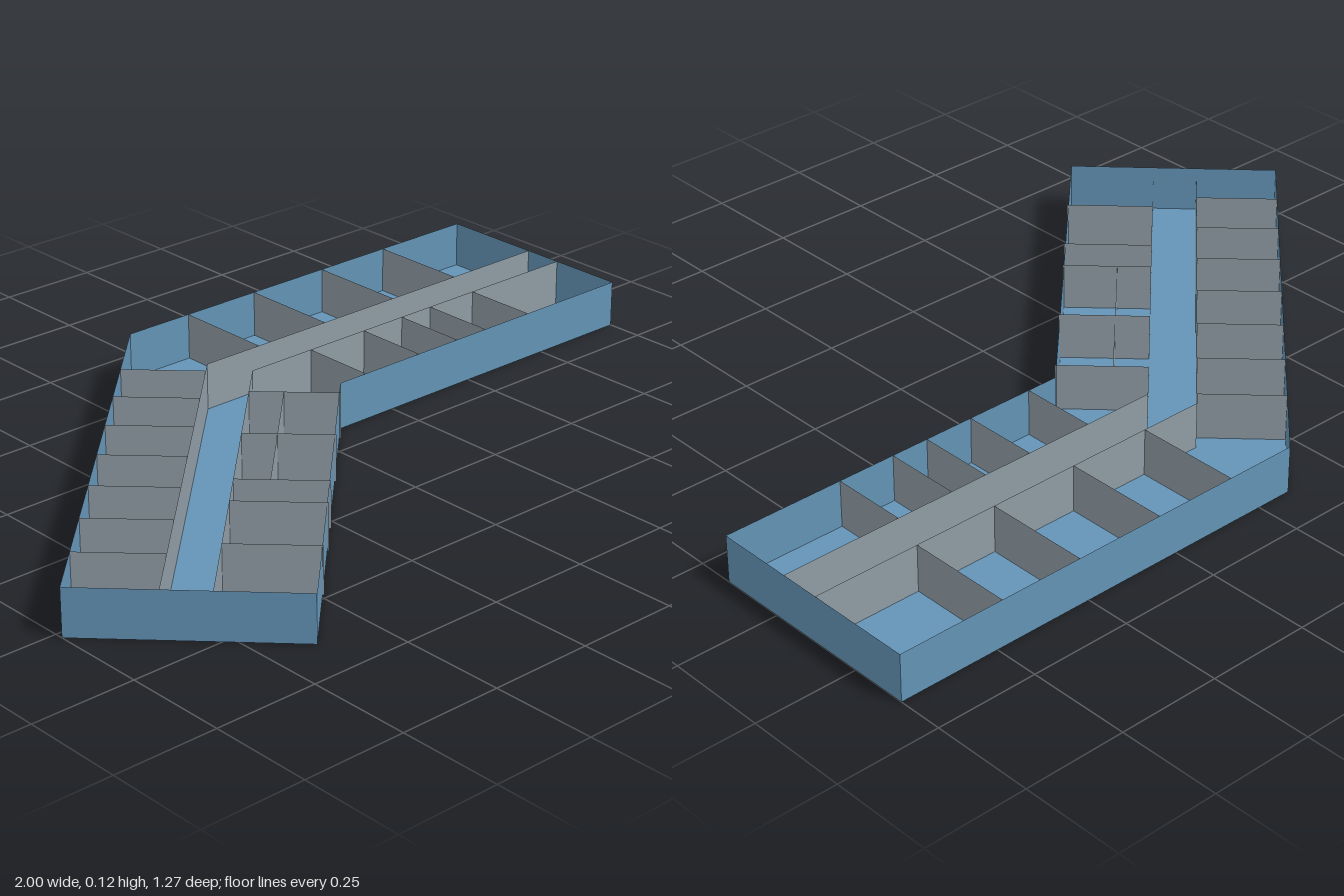
import * as THREE from 'three';

const H = 0.115;
const R = Math.SQRT1_2;

// Point in the diagonal wing: t runs along it, w across it
const diag = (t, w) => [(w - t) * R, (w + t) * R];

export function createModel() {
  const model = new THREE.Group();
  const blue = new THREE.MeshStandardMaterial({ color: 0x6494b6, side: THREE.DoubleSide });
  const grey = new THREE.MeshStandardMaterial({ color: 0x8f9ca5, side: THREE.DoubleSide });

  // Thin upright sheet between two plan points [x, z]
  function wall(name, a, b, material, parent) {
    const dx = b[0] - a[0], dz = b[1] - a[1];
    const mesh = new THREE.Mesh(new THREE.PlaneGeometry(Math.hypot(dx, dz), H), material);
    mesh.position.set((a[0] + b[0]) / 2, H / 2, (a[1] + b[1]) / 2);
    mesh.rotation.y = -Math.atan2(dz, dx);
    mesh.name = name;
    parent.add(mesh);
  }
  function group(name) {
    const g = new THREE.Group();
    g.name = name;
    model.add(g);
    return g;
  }

  // Floor slab and outer walls; order keeps outer faces pointing outward
  const outline = [[-0.64, 0.635], [0.085, -0.09], [1, -0.09], [1, -0.64], [-0.09, -0.64], [-1, 0.27]];
  const shape = new THREE.Shape(outline.map(([x, z]) => new THREE.Vector2(x, -z)));
  const floor = new THREE.Mesh(new THREE.ShapeGeometry(shape), blue);
  floor.rotation.x = -Math.PI / 2;
  floor.name = 'floor';
  model.add(floor);
  const shell = group('outerWalls');
  outline.forEach((p, i) => wall('outerWall', p, outline[(i + 1) % outline.length], blue, shell));

  // Corridor walls, bending where the wings meet
  const corridor = group('corridorWalls');
  const backZ = -0.38, frontZ = -0.28, backW = -0.318, frontW = -0.21, endT = 0.898;
  const runs = [
    [[1, backZ], [backW / R - backZ, backZ], diag(endT, backW)],
    [[1, frontZ], [frontW / R - frontZ, frontZ], diag(endT, frontW)],
  ];
  for (const [a, b, c] of runs) {
    wall('corridorWall', a, b, grey, corridor);
    wall('corridorWall', b, c, grey, corridor);
  }

  // Room dividers in the straight wing
  const straight = group('straightWingDividers');
  for (const x of [0.09, 0.3, 0.525, 0.735]) wall('backDivider', [x, -0.64], [x, backZ], grey, straight);
  for (const x of [0.165, 0.335, 0.46, 0.555, 0.7]) wall('frontDivider', [x, frontZ], [x, -0.09], grey, straight);

  // Room dividers in the diagonal wing
  const diagonal = group('diagonalWingDividers');
  for (let i = 0; i < 7; i++) {
    const t = -0.18 + i * 0.154;
    wall('backDivider', diag(t, -0.516), diag(t, backW), grey, diagonal);
  }
  for (const t of [-0.07, 0.156, 0.389, 0.495, 0.693]) {
    wall('frontDivider', diag(t, frontW), diag(t, 0), grey, diagonal);
  }
  // Lengthwise split of the small rooms near the bend
  wall('smallRoomSplit', diag(-0.07, -0.13), diag(0.389, -0.13), grey, diagonal);

  return model;
}
